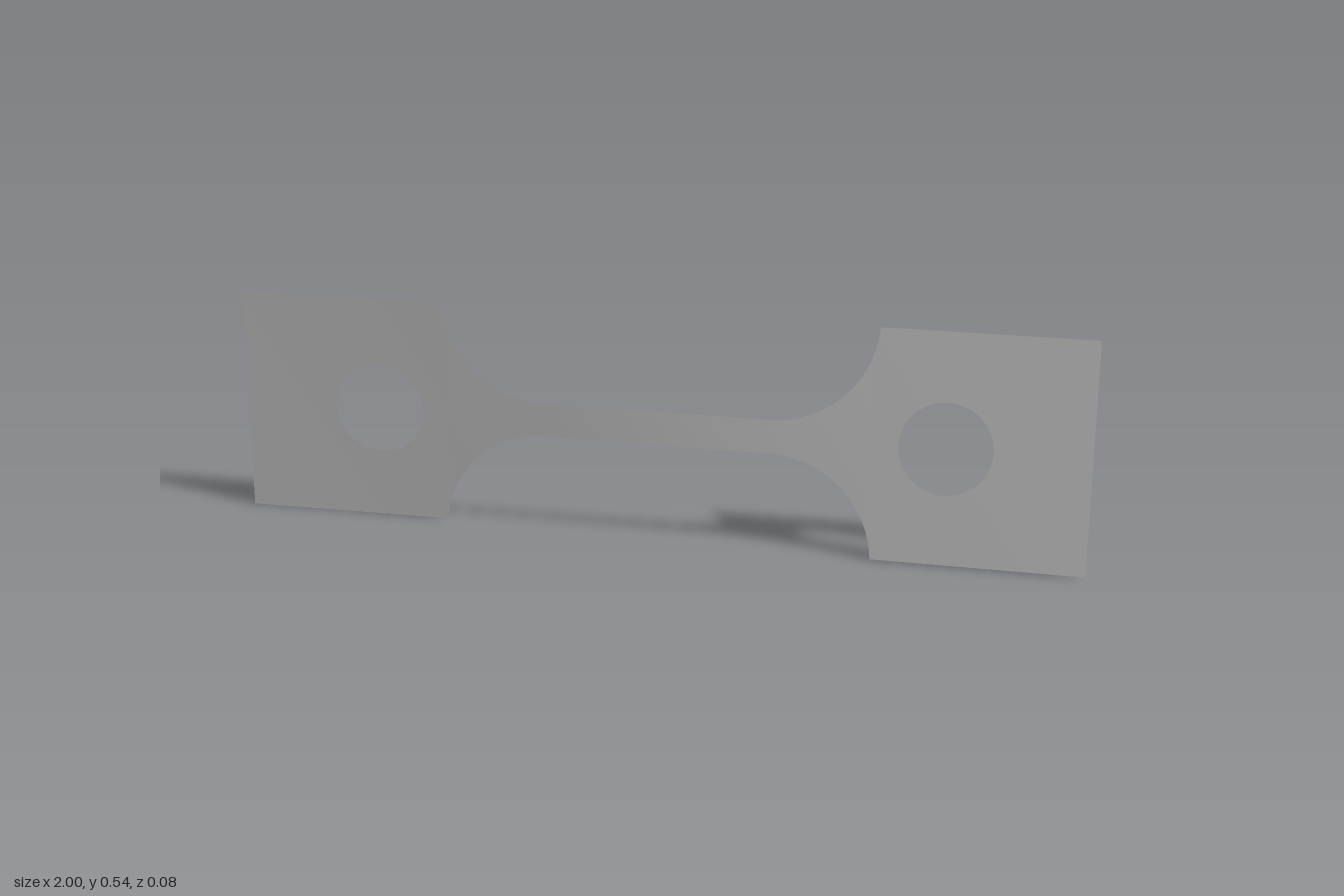
import * as THREE from 'three';
import { ParametricGeometry } from 'three/addons/geometries/ParametricGeometry.js';

const MID = 0.271, HALF = 0.271;        // centre height and half height of the tabs
const NECK = 0.04, NECK_END = 0.265;    // half height and half length of the straight neck
const R = 0.245;                        // fillet radius
const ARC = Math.acos((NECK + R - HALF) / R);
const TAB = NECK_END + R * Math.sin(ARC); // inner edge of the tabs
const HOLE_X = 0.67, HOLE_R = 0.108;

// Twist about the long axis, mostly taken up by the neck
const KEYS = [[-1, 0.002], [-0.5, -0.018], [-0.25, -0.01], [0.25, 0.11], [0.5, 0.14], [1, 0.156]];
function twist(x) {
  let i = 0;
  while (i < KEYS.length - 2 && x > KEYS[i + 1][0]) i++;
  const [x0, a0] = KEYS[i], [x1, a1] = KEYS[i + 1];
  return a0 + (a1 - a0) * (x - x0) / (x1 - x0);
}

function place(x, y, target) {
  const a = twist(x);
  target.set(x, MID + y * Math.cos(a), -y * Math.sin(a));
}

// Straight neck with a circular fillet at each end
function neckSurface(u, v, target) {
  const s = u * 2 - 1, t = Math.abs(s), sign = Math.sign(s);
  let x = NECK_END * t / 0.4, h = NECK;
  if (t > 0.4) {
    const a = ARC * (t - 0.4) / 0.6;
    x = NECK_END + R * Math.sin(a);
    h = NECK + R * (1 - Math.cos(a));
  }
  place(sign * x, h * (v * 2 - 1), target);
}

// Rectangular tab around a round hole, for side +1 or -1
function tabSurface(side) {
  const corners = [[TAB, -HALF], [1, -HALF], [1, HALF], [TAB, HALF], [TAB, -HALF]];
  return (u, v, target) => {
    const t = u * 4, i = Math.min(Math.max(Math.floor(t), 0), 3), f = t - i;
    const dx = corners[i][0] + (corners[i + 1][0] - corners[i][0]) * f - HOLE_X;
    const dy = corners[i][1] + (corners[i + 1][1] - corners[i][1]) * f;
    const k = HOLE_R / Math.hypot(dx, dy);
    const m = k + (1 - k) * v;
    // mirrored by a half turn so both tabs face the same way
    place(side * (HOLE_X + dx * m), side * dy * m, target);
  };
}

export function createModel() {
  const group = new THREE.Group();
  const steel = new THREE.MeshStandardMaterial({ color: 0xb4b4b4, side: THREE.DoubleSide });
  steel.name = 'grey steel';

  const add = (name, fn, nu, nv) => {
    const mesh = new THREE.Mesh(new ParametricGeometry(fn, nu, nv), steel);
    mesh.name = name;
    group.add(mesh);
  };
  add('neck', neckSurface, 100, 8);
  add('leftTab', tabSurface(1), 64, 8);
  add('rightTab', tabSurface(-1), 64, 8);
  return group;
}
